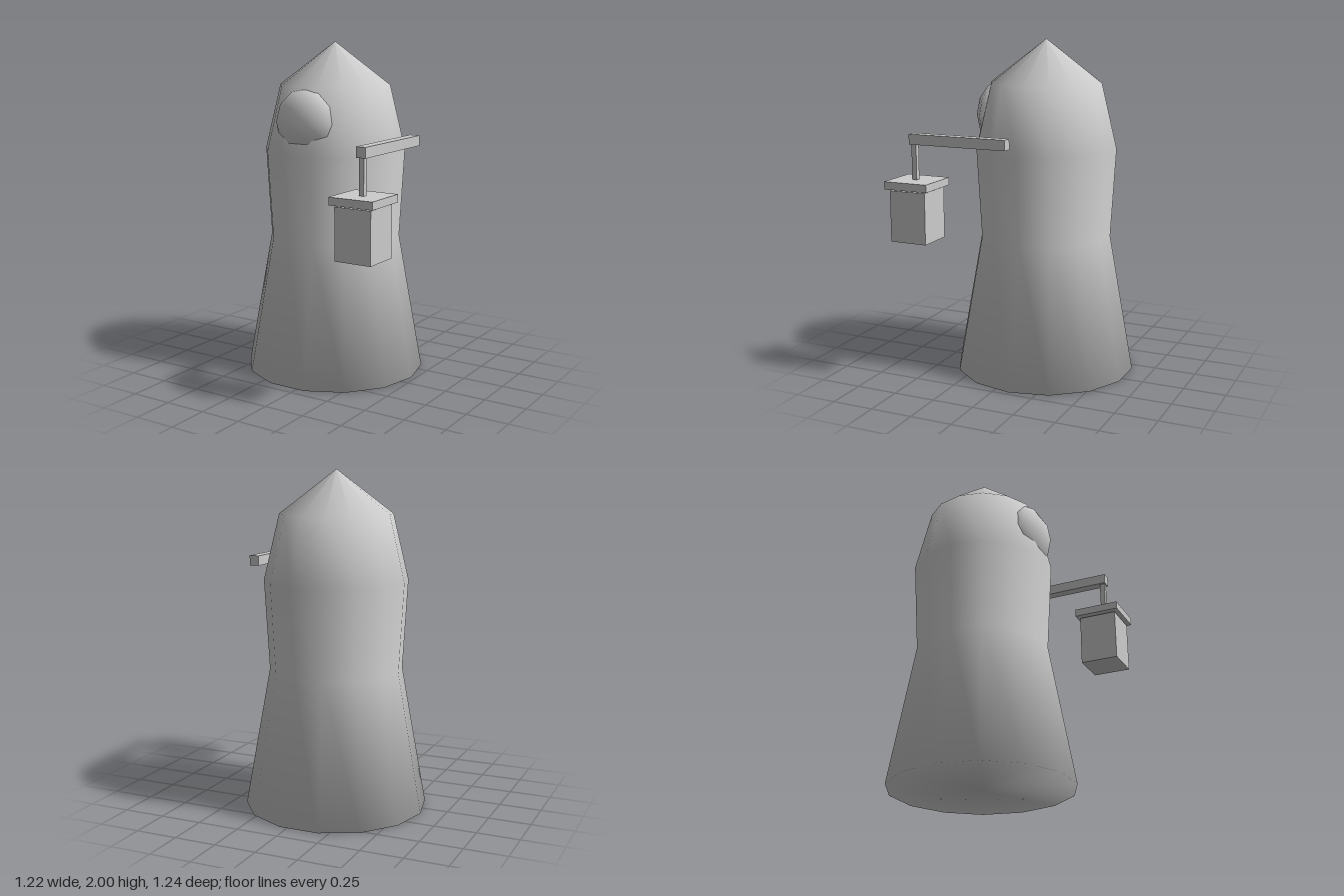
import * as THREE from 'three';

export function createModel() {
  const model = new THREE.Group();
  const grey = new THREE.MeshStandardMaterial({ color: 0xcccccc });
  grey.name = 'plain grey';

  function add(parent, name, geometry, x, y, z) {
    const mesh = new THREE.Mesh(geometry, grey);
    mesh.name = name;
    mesh.position.set(x, y, z);
    parent.add(mesh);
    return mesh;
  }

  // Hooded cloak: smooth fourteen-sided body with a pointed top and closed base
  const profile = [[0, 0], [0.543, 0], [0.394, 0.83], [0.424, 1.36], [0.332, 1.745], [0, 2]]
    .map(([r, y]) => new THREE.Vector2(r, y));
  add(model, 'cloak', new THREE.LatheGeometry(profile, 14, Math.PI / 2), -0.07, 0, -0.09);

  // Face: flattened ball set into the front of the hood
  const face = add(model, 'face', new THREE.SphereGeometry(1, 8, 6, Math.PI / 8), -0.07, 1.543, 0.212);
  face.scale.set(0.2, 0.2, 0.13);

  // Lantern hanging from an arm on the left side
  const lantern = new THREE.Group();
  lantern.name = 'lantern';
  lantern.position.set(0.475, 0, 0.485);
  model.add(lantern);
  const box = (name, w, h, d, y, z = 0) => add(lantern, name, new THREE.BoxGeometry(w, h, d), 0, y, z);
  box('arm', 0.06, 0.06, 0.605, 1.445, -0.2725);
  box('hangingRod', 0.03, 0.26, 0.03, 1.285, 0.007);
  box('lanternRoof', 0.272, 0.045, 0.272, 1.187);
  box('lanternBody', 0.226, 0.3, 0.226, 1.005);

  return model;
}
